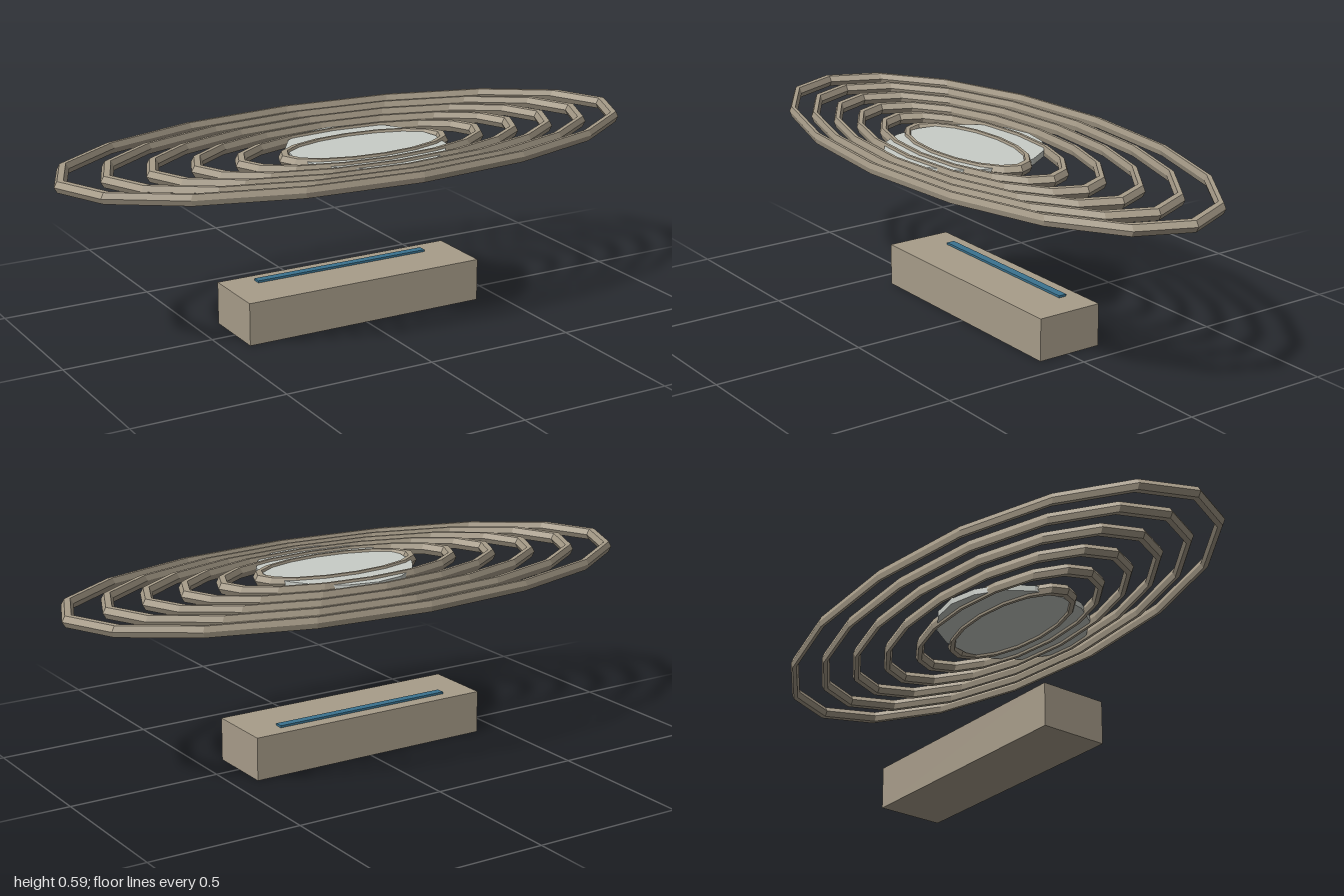
import * as THREE from 'three';

export function createModel() {
  const group = new THREE.Group();
  const paint = (color) => new THREE.MeshStandardMaterial({ color, flatShading: true });
  const clay = paint(0xa89d8a);
  const add = (name, geometry, material, x, y, z) => {
    const mesh = new THREE.Mesh(geometry, material);
    mesh.name = name;
    mesh.position.set(x, y, z);
    group.add(mesh);
    return mesh;
  };

  // Base block with a thin blue strip near its back edge
  add('base', new THREE.BoxGeometry(0.84, 0.14, 0.225), clay, 0, 0.07, -0.006);
  add('strip', new THREE.BoxGeometry(0.62, 0.014, 0.028), paint(0x3a7390), 0, 0.14, -0.062);

  // Six flattened floating rings, the smaller ones shifted towards the front
  const ringY = 0.575;
  for (let i = 0; i < 6; i++) {
    const ring = new THREE.TorusGeometry(0.98 - 0.14 * i, 0.0205, 6, 16);
    ring.rotateX(Math.PI / 2).scale(1, 1, 0.447);
    add('ring' + (i + 1), ring, clay, 0, ringY, 0.0177 * i);
  }

  // Pale round disc set within the inner rings
  const disc = new THREE.CylinderGeometry(0.254, 0.254, 0.02, 16);
  add('disc', disc, paint(0xc9cdc7), 0, ringY, 0.097);

  return group;
}
